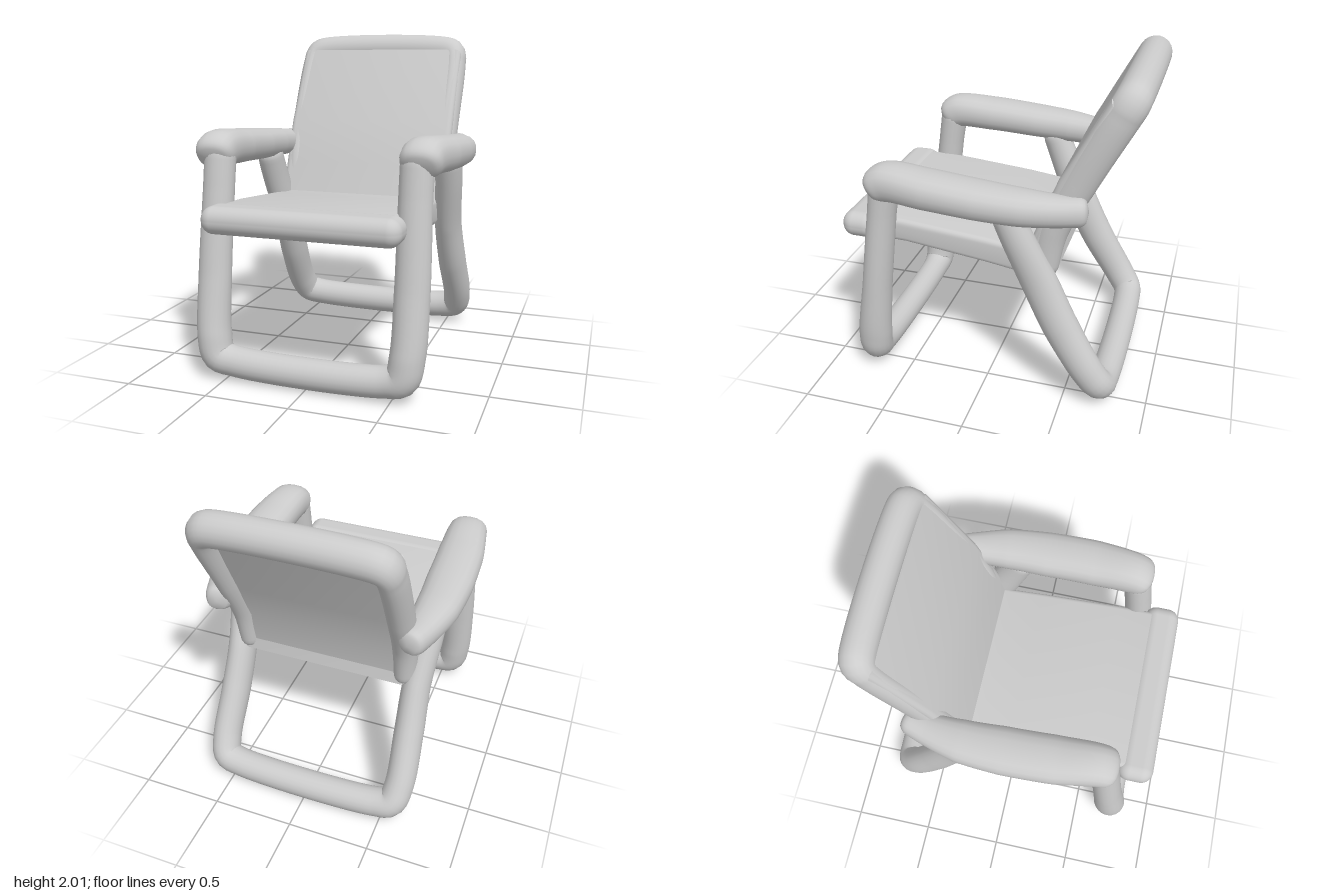
import * as THREE from 'three';
import { mergeVertices, toCreasedNormals } from 'three/addons/utils/BufferGeometryUtils.js';
import { RoundedBoxGeometry } from 'three/addons/geometries/RoundedBoxGeometry.js';

const material = new THREE.MeshStandardMaterial({ color: 0xcccccc });

function part(name, geometry) {
  const mesh = new THREE.Mesh(geometry, material);
  mesh.name = name;
  return mesh;
}

// Round-ended tube through points; each point is [x, y, z, half width in x, radius in y/z].
// A power above 2 makes the cross-section squarer.
function limb(name, points, segments, power = 2) {
  const sides = 20;
  const curve = new THREE.CatmullRomCurve3(points.map(p => new THREE.Vector3(p[0], p[1], p[2])), false, 'centripetal');
  const geo = new THREE.TubeGeometry(curve, segments, 1, sides);
  const pos = geo.attributes.position;
  const length = curve.getLength();
  const offset = new THREE.Vector3();
  for (let i = 0; i <= segments; i++) {
    const u = i / segments;
    const centre = curve.getPointAt(u);
    const f = curve.getUtoTmapping(u) * (points.length - 1);
    const k = Math.min(Math.floor(f), points.length - 2);
    const rx = THREE.MathUtils.lerp(points[k][3], points[k + 1][3], f - k);
    const r = THREE.MathUtils.lerp(points[k][4], points[k + 1][4], f - k);
    const end = Math.min(1, Math.min(u, 1 - u) * length / (0.8 * r));
    const dome = Math.max(0, 1 - (1 - end) ** power) ** (1 / power);
    for (let j = 0; j <= sides; j++) {
      const n = i * (sides + 1) + j;
      offset.fromBufferAttribute(pos, n).sub(centre);
      const across = Math.abs(offset.x) ** power + Math.hypot(offset.y, offset.z) ** power;
      offset.multiplyScalar(dome / across ** (1 / power));
      pos.setXYZ(n, centre.x + offset.x * rx, centre.y + offset.y * r, centre.z + offset.z * r);
    }
  }
  geo.deleteAttribute('uv');
  geo.deleteAttribute('normal');
  const smooth = mergeVertices(geo, 1e-5);
  smooth.computeVertexNormals();
  return part(name, smooth);
}

// Completes a frame from its left half by mirroring the points.
const mirrored = half => [...half, ...half.map(([x, ...rest]) => [-x, ...rest]).reverse()];

// Soft-edged slab: a side profile of [z, y] points extended across x.
function slab(name, profile, width, bevel) {
  const shape = new THREE.Shape(profile.map(p => new THREE.Vector2(p[0], p[1])));
  const depth = width - 2 * bevel;
  const geo = new THREE.ExtrudeGeometry(shape, {
    depth, bevelThickness: bevel, bevelSize: bevel, bevelOffset: -bevel, bevelSegments: 4,
  });
  geo.translate(0, 0, -depth / 2).rotateY(-Math.PI / 2);
  return part(name, toCreasedNormals(geo, 0.7));
}

export function createModel() {
  const chair = new THREE.Group();
  chair.name = 'armchair';

  // U-shaped front legs with floor bar
  chair.add(limb('frontLegFrame', mirrored([
    [0.59, 1.36, 0.565, 0.095, 0.09],
    [0.59, 1.1, 0.605, 0.095, 0.085],
    [0.595, 0.6, 0.67, 0.1, 0.09],
    [0.585, 0.25, 0.715, 0.1, 0.105],
    [0.555, 0.13, 0.725, 0.1, 0.1],
    [0.46, 0.1, 0.725, 0.1, 0.09],
  ]), 150));

  // U-shaped rear legs, splayed backwards
  chair.add(limb('rearLegFrame', mirrored([
    [0.61, 1.27, -0.13, 0.085, 0.085],
    [0.6, 1.08, -0.21, 0.085, 0.095],
    [0.575, 0.78, -0.345, 0.085, 0.11],
    [0.58, 0.5, -0.48, 0.09, 0.11],
    [0.585, 0.22, -0.65, 0.09, 0.1],
    [0.555, 0.125, -0.715, 0.09, 0.095],
    [0.46, 0.1, -0.73, 0.09, 0.09],
  ]), 150));

  // Armrests, bowed outwards and tapering to the back
  for (const [side, s] of [['left', 1], ['right', -1]]) {
    chair.add(limb(side + 'Armrest', [
      [s * 0.61, 1.27, 0.65, 0.115, 0.09],
      [s * 0.615, 1.32, 0.55, 0.122, 0.11],
      [s * 0.635, 1.315, 0.3, 0.14, 0.105],
      [s * 0.642, 1.295, 0, 0.14, 0.1],
      [s * 0.635, 1.28, -0.25, 0.125, 0.095],
      [s * 0.605, 1.27, -0.45, 0.095, 0.085],
      [s * 0.57, 1.27, -0.61, 0.07, 0.08],
    ], 90, 2.5));
  }

  // Seat and its rounded front edge
  chair.add(slab('seat', [
    [0.84, 1.035], [0.5, 1.025], [0, 0.98], [-0.2, 0.955], [-0.4, 0.95],
    [-0.42, 0.81], [-0.2, 0.79], [0, 0.82], [0.5, 0.88], [0.84, 0.89],
  ], 1.05, 0.03));
  const frontEdge = part('seatFrontEdge', new RoundedBoxGeometry(1.16, 0.16, 0.22, 6, 0.075));
  frontEdge.position.set(0, 0.96, 0.79);
  chair.add(frontEdge);

  // Backrest: inverted U frame with a panel flush with its front
  chair.add(limb('backrestFrame', mirrored([
    [0.5, 0.8, -0.34, 0.07, 0.085],
    [0.505, 1.1, -0.4, 0.075, 0.09],
    [0.51, 1.4, -0.535, 0.075, 0.1],
    [0.51, 1.8, -0.745, 0.075, 0.1],
    [0.497, 1.86, -0.778, 0.083, 0.1],
    [0.45, 1.885, -0.79, 0.095, 0.1],
  ]), 150));
  chair.add(slab('backrestPanel', [
    [-0.235, 0.9], [-0.325, 1.15], [-0.43, 1.42], [-0.69, 1.9],
    [-0.8, 1.86], [-0.57, 1.37], [-0.45, 1.1], [-0.4, 0.84],
  ], 1.13, 0.035));

  return chair;
}
